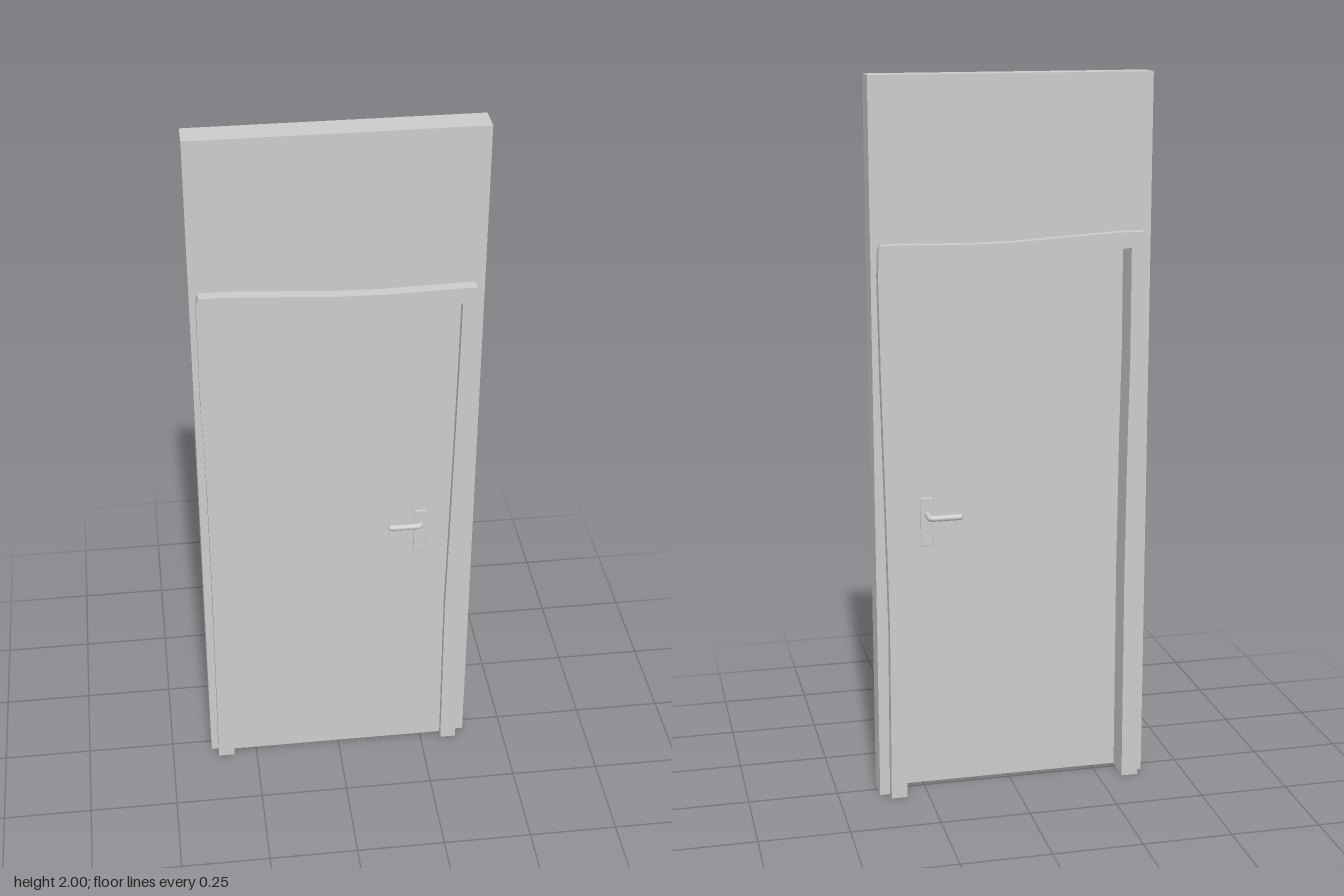
import * as THREE from 'three';
import { toCreasedNormals } from 'three/addons/utils/BufferGeometryUtils.js';
import { RoundedBoxGeometry } from 'three/addons/geometries/RoundedBoxGeometry.js';

const material = new THREE.MeshStandardMaterial({ color: 0xcccccc });

// Slightly warped outlines, from the bottom left over the top to the bottom right
const OUTER = [[-0.364, 0], [-0.361, 0.6], [-0.362, 1.0], [-0.368, 1.25], [-0.368, 1.53], [-0.366, 1.565],
  [-0.36, 1.578], [-0.29, 1.578], [-0.15, 1.57], [0, 1.561], [0.12, 1.559], [0.33, 1.564], [0.36, 1.562],
  [0.366, 1.552], [0.369, 1.48], [0.366, 1.2], [0.358, 0.8], [0.353, 0.5], [0.356, 0]];
const INNER = [[-0.317, 0], [-0.316, 0.6], [-0.319, 1.0], [-0.323, 1.25], [-0.322, 1.535], [-0.25, 1.53],
  [-0.1, 1.517], [0.05, 1.511], [0.2, 1.514], [0.322, 1.519], [0.32, 1.3], [0.313, 0.8], [0.308, 0.5], [0.311, 0]];

const points = (list) => list.map(([x, y]) => new THREE.Vector2(x, y));

function addMesh(parent, name, geometry) {
  const mesh = new THREE.Mesh(geometry, material);
  mesh.name = name;
  parent.add(mesh);
  return mesh;
}

// Extrude an outline between two depths, smoothing only its gentle bends
function slab(outline, zBack, zFront) {
  const geometry = new THREE.ExtrudeGeometry(new THREE.Shape(points(outline)), {
    depth: zFront - zBack, bevelEnabled: false,
  });
  geometry.translate(0, 0, zBack);
  return toCreasedNormals(geometry, 0.6);
}

// Plate and bent lever on one face of the door; dir is the way it points along z
function handle(name, zFace, dir, reach) {
  const group = new THREE.Group();
  group.name = name;
  const plate = addMesh(group, 'handlePlate', new RoundedBoxGeometry(0.036, 0.14, 0.006, 2, 0.002));
  plate.position.set(0.231, 0.78, zFace + dir * 0.002);

  const z = zFace + dir * reach;
  const bend = 0.01;
  const path = new THREE.CurvePath();
  const start = new THREE.Vector3(0.231, 0.803, zFace);
  const corner = new THREE.Vector3(0.231, 0.803, z);
  const bendIn = new THREE.Vector3(0.231, 0.803, z - dir * bend);
  const bendOut = new THREE.Vector3(0.231 - bend, 0.803, z);
  const tip = new THREE.Vector3(0.148, 0.803, z);
  path.add(new THREE.LineCurve3(start, bendIn));
  path.add(new THREE.QuadraticBezierCurve3(bendIn, corner, bendOut));
  path.add(new THREE.LineCurve3(bendOut, tip));
  addMesh(group, 'lever', new THREE.TubeGeometry(path, 40, 0.0085, 12));
  addMesh(group, 'leverTip', new THREE.SphereGeometry(0.0085, 12, 8)).position.copy(tip);
  return group;
}

export function createModel() {
  const model = new THREE.Group();
  model.name = 'doorInWall';

  // Wall with the opening for the frame
  const wall = [[0.384, 0], [0.384, 2], [-0.384, 2], [-0.384, 0], ...OUTER];
  addMesh(model, 'wall', slab(wall, -0.04, 0.036));

  // Frame standing proud of the wall on both sides
  addMesh(model, 'doorFrame', slab([...OUTER, ...INNER.slice().reverse()], -0.07, 0.067));

  // Door leaf, set close to the front of the frame
  const leaf = INNER.map(([x, y]) => [x, Math.max(y, 0.004)]);
  addMesh(model, 'doorLeaf', slab(leaf, 0.012, 0.046));

  model.add(handle('frontHandle', 0.046, 1, 0.0125));
  model.add(handle('backHandle', 0.012, -1, 0.05));
  return model;
}
